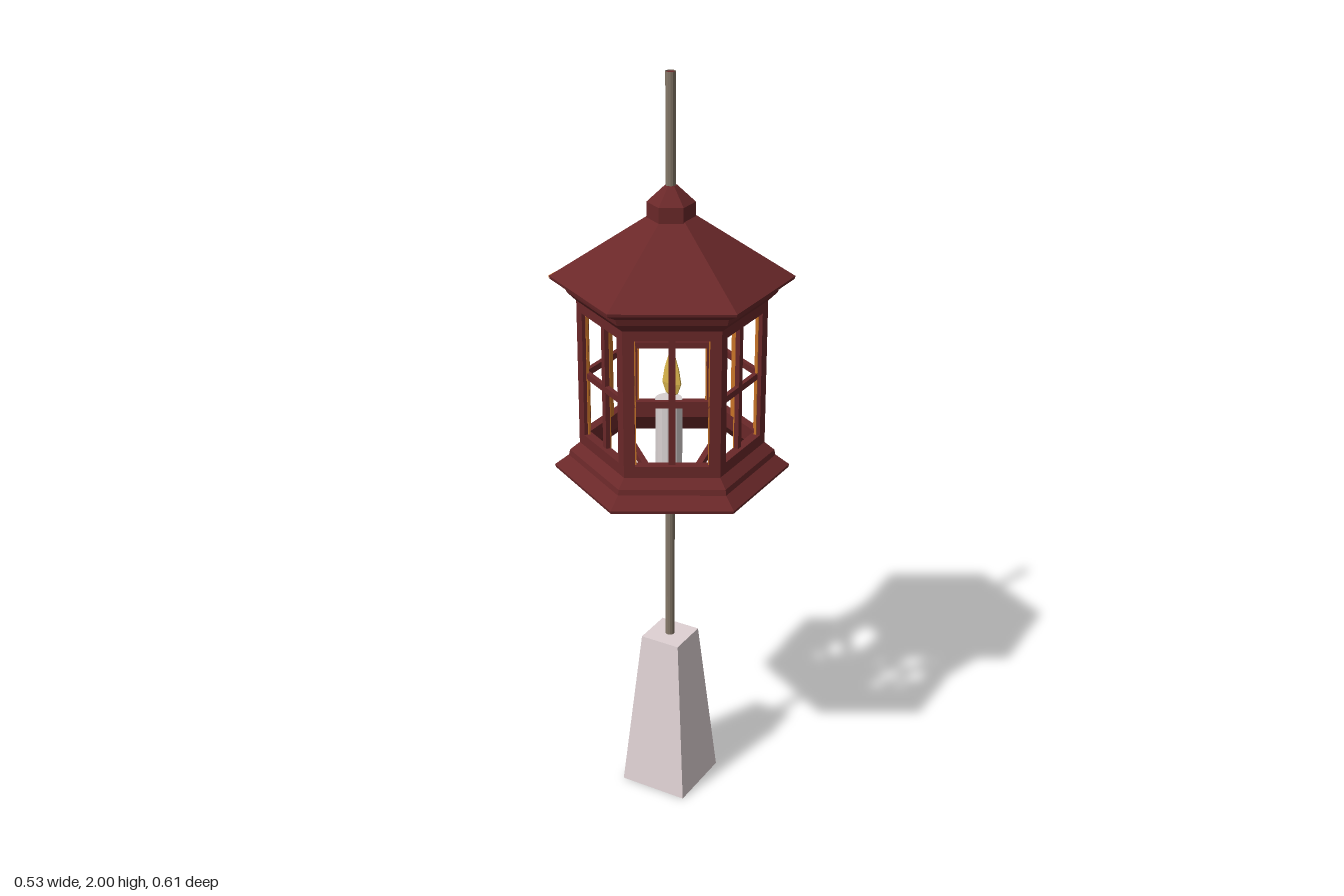
import * as THREE from 'three';

export function createModel() {
  const model = new THREE.Group();
  const mat = (name, color) => {
    const m = new THREE.MeshStandardMaterial({ color, flatShading: true, side: THREE.DoubleSide });
    m.name = name;
    return m;
  };
  const red = mat('dark red wood', 0x6a2829);
  const orange = mat('orange trim', 0xc87428);
  const stone = mat('pale stone', 0xdfd2d4);
  const metal = mat('pole metal', 0x857869);
  const wax = mat('candle wax', 0xd8d0d0);
  const gold = mat('flame yellow', 0xdab54c);

  const add = (name, geometry, material, x = 0, y = 0, z = 0, parent = model) => {
    const mesh = new THREE.Mesh(geometry, material);
    mesh.name = name;
    mesh.position.set(x, y, z);
    parent.add(mesh);
    return mesh;
  };
  // Six-sided ring or shell from [corner radius, height] pairs, with corners on +z and -z
  const hex = (name, pts) =>
    add(name, new THREE.LatheGeometry(pts.map(p => new THREE.Vector2(...p)), 6), red);
  // Square bar between two points
  const bar = (name, a, b, w) => {
    const mesh = add(name, new THREE.BoxGeometry(w, w, a.distanceTo(b)), red);
    mesh.position.copy(a).add(b).multiplyScalar(0.5);
    mesh.lookAt(b);
  };
  const cx = -0.003, cz = 0.006;

  // Tapered square foot
  const foot = new THREE.CylinderGeometry(0.056 * Math.SQRT2, 0.096 * Math.SQRT2, 0.46, 4);
  foot.rotateY(Math.PI / 4);
  add('foot', foot, stone, cx, 0.23, cz);

  // Pole below and above the lantern; the upper one is an open tube
  add('lowerPole', new THREE.CylinderGeometry(0.0125, 0.0125, 0.43, 12), metal, cx, 0.67, cz);
  add('upperPole', new THREE.CylinderGeometry(0.0125, 0.0125, 0.32, 12, 1, true), metal, -0.001, 1.84, cz);
  // Red plug closing the tube
  add('polePlug', new THREE.CylinderGeometry(0.0115, 0.0115, 0.008, 12), red, -0.001, 1.994, cz);

  // Hollow roof with its stepped eaves
  hex('roof', [
    [0.22, 1.425], [0.239, 1.425], [0.262, 1.447], [0.268, 1.464], [0.303, 1.482], [0.305, 1.49],
    [0.058, 1.647], [0.05, 1.637], [0.25, 1.476], [0.22, 1.446], [0.22, 1.425],
  ]);
  // Thin trim along the right-hand eave
  add('eaveTrim', new THREE.BoxGeometry(0.005, 0.006, 0.3), orange, -0.2645, 1.487, 0);
  // Cap on the roof
  hex('roofCap', [[0, 1.64], [0.06, 1.64], [0.06, 1.682], [0.015, 1.724], [0, 1.724]]).position.z = 0.005;
  // Flared skirt under the windows
  hex('skirt', [
    [0.215, 1.035], [0.215, 1.02], [0.27, 0.963], [0.303, 0.963], [0.305, 0.971],
    [0.268, 0.998], [0.265, 1.013], [0.239, 1.035], [0.215, 1.035],
  ]);
  // Small floor plate
  hex('floorPlate', [[0, 0.875], [0.11, 0.875], [0.11, 0.887], [0, 0.887]]);

  // Six window frames, each with a cross of glazing bars
  const side = 0.239, apothem = side * Math.cos(Math.PI / 6), stile = 0.028;
  for (let i = 0; i < 6; i++) {
    const frame = new THREE.Group();
    frame.name = 'windowFrame';
    frame.rotation.y = Math.PI / 6 + i * Math.PI / 3;
    model.add(frame);
    // Boxes are set by their depth and how far their front lies behind the face
    const box = (name, w, h, d, x, y, inset = 0, material = red) =>
      add(name, new THREE.BoxGeometry(w, h, d), material, x, y, apothem - inset - d / 2, frame);
    for (const s of [-1, 1]) {
      box('stile', stile, 0.4, 0.016, s * (side - stile) / 2, 1.235);
      // Narrow trim on the inner edge of the stile
      box('stileTrim', 0.004, 0.335, 0.006, s * (side / 2 - stile - 0.001), 1.233, 0.01, orange);
    }
    box('topRail', side - 0.02, 0.035, 0.024, 0, 1.417);
    box('bottomRail', side - 0.02, 0.035, 0.024, 0, 1.048);
    box('uprightGlazingBar', 0.017, 0.35, 0.012, 0, 1.235, 0.01);
    box('crossGlazingBar', side - 0.03, 0.017, 0.012, 0, 1.228, 0.01);
    // Thin backing on the inside of the upright bar
    box('glazingBarTrim', 0.017, 0.335, 0.003, 0, 1.233, 0.022, orange);
  }

  // Sloping struts from the skirt to the floor plate, at corners and mid-sides
  for (let i = 0; i < 12; i++) {
    const a = i * Math.PI / 6, k = i % 2 ? Math.cos(Math.PI / 6) : 1;
    const at = (r, y) => new THREE.Vector3(Math.sin(a) * r * k, y, Math.cos(a) * r * k);
    bar('strut', at(0.283, 0.966), at(0.098, 0.883), 0.017);
  }

  // Candle and flattened flame
  add('candle', new THREE.CylinderGeometry(0.035, 0.035, 0.28, 16), wax, cx, 1.023, 0.012);
  const flamePts = [[0, 0], [0.018, 0.012], [0.028, 0.04], [0.021, 0.08], [0.008, 0.12], [0, 0.145]];
  const flame = new THREE.LatheGeometry(flamePts.map(p => new THREE.Vector2(...p)), 10);
  flame.scale(1, 1, 0.3);
  add('flame', flame, gold, 0, 1.163, 0.002);

  return model;
}
